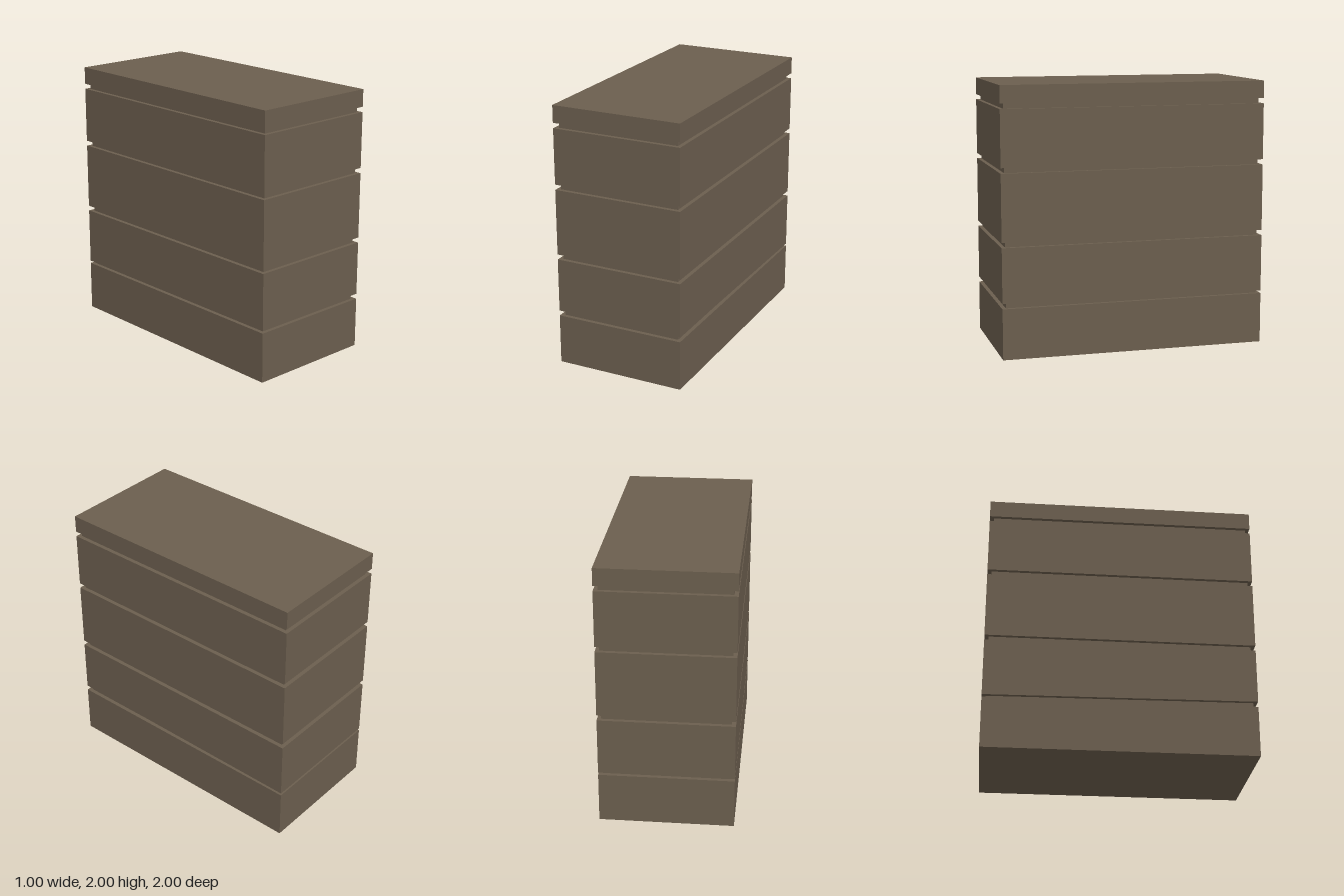
import * as THREE from 'three';

const W = 0.995, D = 2, INSET = 0.03;

export function createModel() {
  const model = new THREE.Group();
  model.name = 'groovedBlock';
  const stone = new THREE.MeshStandardMaterial({ color: 0x6b5e4e, flatShading: true });

  // Box spanning y0..y1; backDrop lowers the rear bottom edge
  function slab(name, y0, y1, inset = 0, backDrop = 0) {
    const geo = new THREE.BoxGeometry(W - 2 * inset, y1 - y0, D - 2 * inset);
    geo.translate(0, (y0 + y1) / 2, 0);
    const p = geo.attributes.position;
    for (let i = 0; i < p.count; i++) {
      if (p.getZ(i) < 0 && p.getY(i) < (y0 + y1) / 2) p.setY(i, p.getY(i) - backDrop);
    }
    geo.computeVertexNormals();
    const mesh = new THREE.Mesh(geo, stone);
    mesh.name = name;
    model.add(mesh);
  }

  // Stacked courses, the second with a slightly sloping underside
  const courses = [
    ['baseCourse', 0, 0.38],
    ['lowerCourse', 0.42, 0.83, 0.02],
    ['middleCourse', 0.87, 1.37],
    ['upperCourse', 1.41, 1.83],
    ['capSlab', 1.87, 2],
  ];
  courses.forEach(([name, y0, y1, drop = 0], i) => {
    slab(name, y0, y1, 0, drop);
    // Recessed joint up to the next course
    if (i < courses.length - 1) slab('recessedJoint' + (i + 1), y1, courses[i + 1][1], INSET);
  });
  return model;
}
